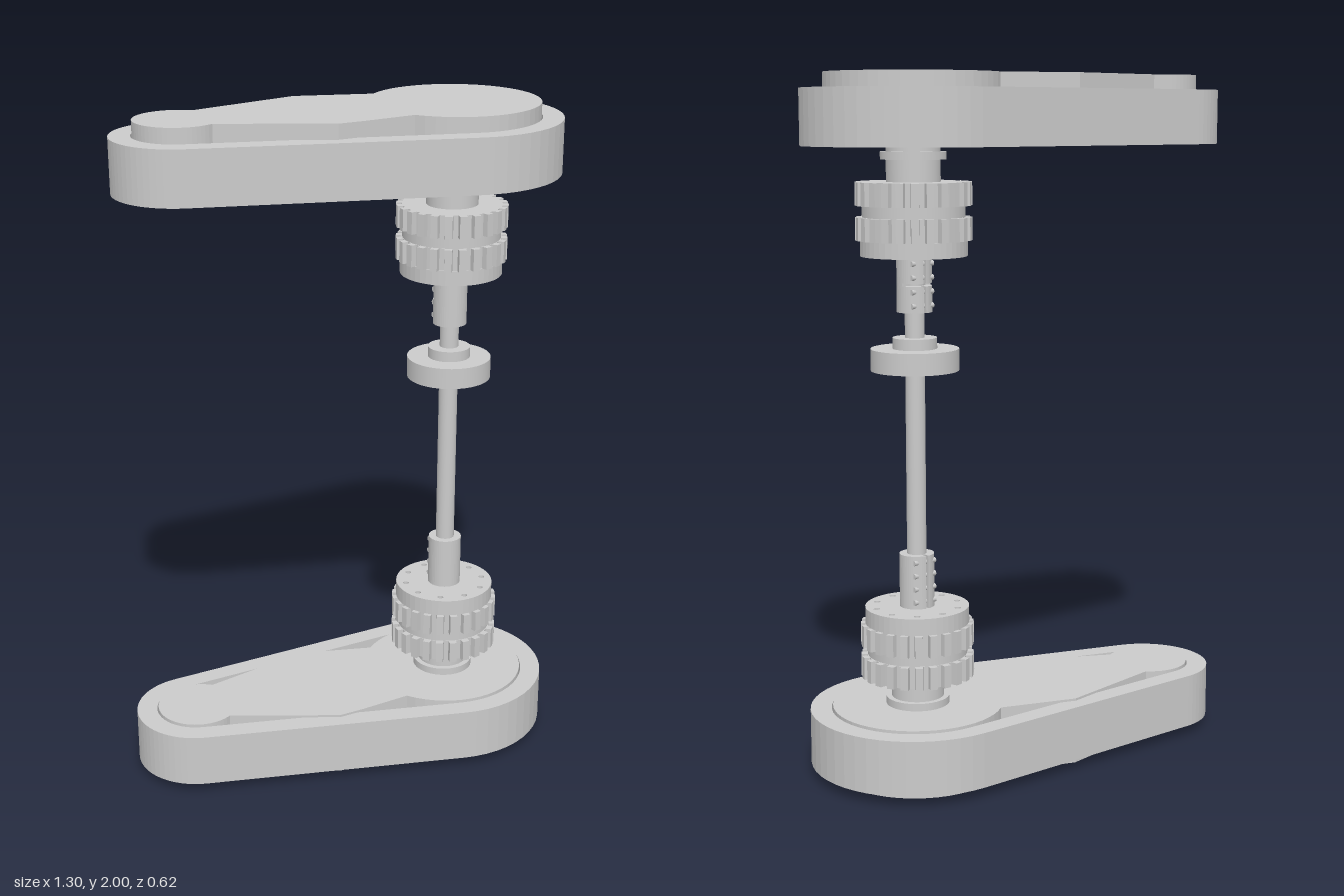
import * as THREE from 'three';

const AXIS_X = 0.337;
const mat = new THREE.MeshStandardMaterial({ color: 0xcccccc });
const SMALL = { x: -0.46, z: -0.126, r: 0.126 };
const BIG = { x: AXIS_X, z: 0, r: 0.251 };

function add(parent, name, geometry) {
  const mesh = new THREE.Mesh(geometry, mat);
  mesh.name = name;
  parent.add(mesh);
  return mesh;
}

// Upright prism: the shape lies in the x-z plane and spans y0..y1
function prism(shape, y0, y1, curveSegments = 14) {
  const g = new THREE.ExtrudeGeometry(shape, { depth: y1 - y0, bevelEnabled: false, curveSegments });
  return g.rotateX(Math.PI / 2).translate(0, y1, 0);
}

function disc(r, y0, y1, segments = 32) {
  return new THREE.CylinderGeometry(r, r, y1 - y0, segments).translate(0, (y0 + y1) / 2, 0);
}

// Loop stretched around both pulleys, offset outward
function beltPath(path, offset) {
  const dx = BIG.x - SMALL.x, dz = BIG.z - SMALL.z;
  const dir = Math.atan2(dz, dx);
  const spread = Math.acos((SMALL.r - BIG.r) / Math.hypot(dx, dz));
  path.absarc(BIG.x, BIG.z, BIG.r + offset, dir - spread, dir + spread, false);
  path.absarc(SMALL.x, SMALL.z, SMALL.r + offset, dir + spread, dir - spread + 2 * Math.PI, false);
  path.closePath();
  return path;
}

// Two round ends joined by an angular body
function plateShape() {
  const s = new THREE.Shape();
  s.absarc(BIG.x, BIG.z, 0.247, -2.26, 2.568, false);
  s.lineTo(-0.03, 0.14);
  s.lineTo(-0.108, 0.139);
  s.absarc(SMALL.x, SMALL.z, 0.122, 1.09, 5.49, false);
  s.lineTo(-0.04, -0.267);
  s.closePath();
  return s;
}

function gearShape(teeth = 24, root = 0.146, tip = 0.163) {
  const pts = [];
  const step = (2 * Math.PI) / teeth;
  for (let i = 0; i < teeth; i++) {
    for (const [f, r] of [[0, root], [0.06, tip], [0.56, tip], [0.62, root]]) {
      const a = (i + f) * step;
      pts.push(new THREE.Vector2(r * Math.cos(a), r * Math.sin(a)));
    }
  }
  return new THREE.Shape(pts);
}

// End cap with a ring of bolt holes
function capShape() {
  const s = new THREE.Shape();
  s.absarc(0, 0, 0.15, 0, 2 * Math.PI, false);
  for (let i = 0; i < 10; i++) {
    const a = (i + 0.5) * Math.PI / 5;
    const hole = new THREE.Path();
    hole.absarc(0.122 * Math.cos(a), 0.122 * Math.sin(a), 0.009, 0, 2 * Math.PI, true);
    s.holes.push(hole);
  }
  return s;
}

// Clamp sleeve section, split along its back
function sleeveShape() {
  const s = new THREE.Shape();
  const gap = 0.08, back = -Math.PI / 2;
  s.absarc(0, 0, 0.05, back + gap, back + 2 * Math.PI - gap, false);
  s.lineTo(-0.004, -0.027);
  s.absarc(0, 0, 0.027, back + 2 * Math.PI - 0.15, back + 0.15, true);
  s.closePath();
  return s;
}

function pulleyDrive(name, belt, plate) {
  const g = new THREE.Group();
  g.name = name;
  const loop = beltPath(new THREE.Shape(), 0.061);
  loop.holes.push(beltPath(new THREE.Path(), 0));
  add(g, 'belt', prism(loop, ...belt));
  add(g, 'pulleyPlate', prism(plateShape(), ...plate, 20));
  return g;
}

function clutch(name, o) {
  const g = new THREE.Group();
  g.name = name;
  add(g, 'collar', disc(0.092, ...o.collar));
  add(g, 'hub', disc(0.076, ...o.hub));
  add(g, 'clutchDrum', disc(0.144, ...o.drum, 48));
  for (const span of o.gears) add(g, 'toothedRing', prism(gearShape(), ...span));
  add(g, 'boltedCap', prism(capShape(), ...o.cap, 24));
  return g;
}

function sleeve(name, y0, y1, slotted) {
  const g = new THREE.Group();
  g.name = name;
  const mid = (y0 + y1) / 2;
  if (slotted) {
    const gap = 0.004;
    add(g, 'clampHalf', prism(sleeveShape(), y0, mid - gap, 24));
    add(g, 'clampHalf', prism(sleeveShape(), mid + gap, y1, 24));
    // Solid front bridge joins the two halves
    const bridge = new THREE.Shape();
    bridge.absarc(0, 0, 0.05, -0.2, Math.PI + 0.2, false);
    bridge.closePath();
    add(g, 'clampBridge', prism(bridge, mid - gap, mid + gap));
  } else {
    add(g, 'clamp', prism(sleeveShape(), y0, y1, 24));
  }
  // Clamp screws across the split
  for (let i = 0; i < 4; i++) {
    const screw = add(g, 'clampScrew', new THREE.CylinderGeometry(0.008, 0.008, 0.074, 10));
    screw.rotation.z = Math.PI / 2;
    screw.position.set(0, y0 + (y1 - y0) * (i + 0.5) / 4, -0.036);
  }
  return g;
}

export function createModel() {
  const model = new THREE.Group();
  model.name = 'beltDriveShaft';

  model.add(pulleyDrive('lowerDrive', [0.03, 0.19], [0, 0.197]));
  model.add(pulleyDrive('upperDrive', [1.8, 1.957], [1.803, 2]));

  const shaft = new THREE.Group();
  shaft.name = 'shaftAssembly';
  shaft.position.x = AXIS_X;
  model.add(shaft);

  add(shaft, 'rod', disc(0.028, 0.4, 1.6, 24));
  add(shaft, 'flangeDisc', disc(0.125, 1.175, 1.237, 40));
  add(shaft, 'flangeCollar', disc(0.063, 1.237, 1.268));

  shaft.add(clutch('lowerClutch', {
    collar: [0.2, 0.222], hub: [0.19, 0.29], drum: [0.29, 0.442],
    gears: [[0.285, 0.35], [0.378, 0.442]], cap: [0.442, 0.49],
  }));
  shaft.add(clutch('upperClutch', {
    collar: [1.763, 1.785], hub: [1.7, 1.81], drum: [1.541, 1.7],
    gears: [[1.541, 1.605], [1.637, 1.702]], cap: [1.497, 1.541],
  }));
  shaft.add(sleeve('lowerSleeve', 0.49, 0.645, false));
  shaft.add(sleeve('upperSleeve', 1.34, 1.497, true));
  return model;
}
